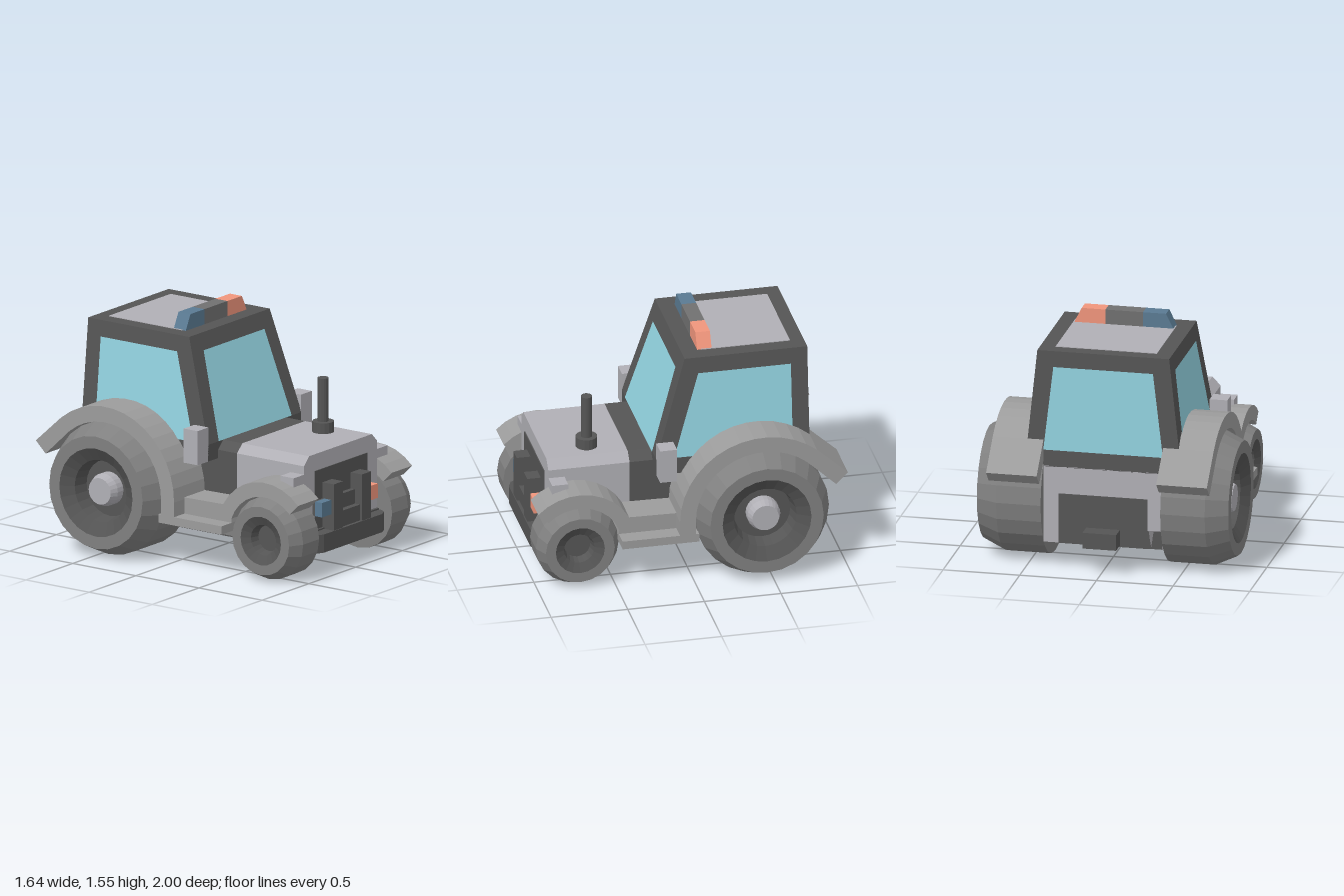
import * as THREE from 'three';

const mat = (color) => new THREE.MeshStandardMaterial({ color, flatShading: true, side: THREE.DoubleSide });

export function createModel() {
  const model = new THREE.Group();
  const paint = mat(0xb0afb5), dark = mat(0x555555), tyre = mat(0x808080), fender = mat(0x9c9c9c);
  const glass = mat(0x92d2df), blue = mat(0x5a7a92), orange = mat(0xf0957c), grey = mat(0x707070);

  const add = (name, geometry, material) => {
    const mesh = new THREE.Mesh(geometry, material);
    mesh.name = name;
    model.add(mesh);
    return mesh;
  };
  // box given by its limits on each axis
  const box = (name, x0, x1, y0, y1, z0, z1, material) => add(name,
    new THREE.BoxGeometry(Math.abs(x1 - x0), y1 - y0, z1 - z0)
      .translate((x0 + x1) / 2, (y0 + y1) / 2, (z0 + z1) / 2), material);
  const shapeOf = (pts) => new THREE.Shape(pts.map(([a, b]) => new THREE.Vector2(a, b)));
  const extrude = (pts, depth) => new THREE.ExtrudeGeometry(shapeOf(pts), { depth, bevelEnabled: false });
  // side profile of [z, y] points, extruded across x
  const extrudeX = (pts, x0, x1) => extrude(pts.map(([z, y]) => [-z, y]), x1 - x0)
    .rotateY(Math.PI / 2).translate(x0, 0, 0);
  // arc of [z, y] points; angle 0 points forward, 90 points up
  const arc = (cz, cy, r, a0, a1, n) => Array.from({ length: n + 1 }, (_, i) => {
    const a = THREE.MathUtils.degToRad(a0 + (a1 - a0) * i / n);
    return [cz + r * Math.cos(a), cy + r * Math.sin(a)];
  });
  // flat four-cornered pane
  const pane = (name, corners, material) => {
    const g = new THREE.BufferGeometry();
    g.setAttribute('position', new THREE.Float32BufferAttribute(corners.flat(), 3));
    g.setIndex([0, 1, 2, 0, 2, 3]);
    g.computeVertexNormals();
    return add(name, g, material);
  };

  // chassis and body core
  box('chassis', -0.385, 0.385, 0.17, 0.29, -0.8, 0.9, dark);
  box('bodyCore', -0.39, 0.39, 0.28, 0.7, -0.78, 0.3, dark);
  box('rearPanel', -0.39, 0.39, 0.17, 0.68, -0.8, -0.77, paint);
  box('rearInset', -0.29, 0.29, 0.17, 0.5, -0.806, -0.79, dark);
  box('hitch', -0.11, 0.11, 0.18, 0.285, -0.915, -0.8, dark);

  // bonnet with chamfered top edges, and the dark cowl behind it
  const hood = [[-0.39, 0.28], [0.39, 0.28], [0.39, 0.73], [0.335, 0.785], [-0.335, 0.785], [-0.39, 0.73]];
  add('bonnet', extrude(hood, 0.53).translate(0, 0, 0.35), paint);
  add('cowl', extrude(hood, 0.2).translate(0, 0, 0.15), dark);

  // front bumper with cut corners
  const bumper = [[-0.39, 0.85], [0.39, 0.85], [0.39, 0.91], [0.365, 0.955], [0.31, 0.98],
    [-0.31, 0.98], [-0.365, 0.955], [-0.39, 0.91]];
  add('bumper', extrude(bumper.map(([x, z]) => [x, -z]), 0.12).rotateX(-Math.PI / 2).translate(0, 0.16, 0), dark);

  // grille and its guard
  box('grille', -0.28, 0.28, 0.28, 0.675, 0.86, 0.886, dark);
  box('grilleStepLow', -0.1, 0.1, 0.28, 0.385, 0.88, 0.96, dark);
  box('grilleStepHigh', -0.1, 0.1, 0.385, 0.48, 0.88, 0.92, dark);
  for (const s of [-1, 1]) {
    box('grilleGuard', s * 0.1, s * 0.2, 0.28, 0.585, 0.88, 0.975, dark);
    box('frontLight', s * 0.2, s * 0.298, 0.385, 0.48, 0.9, 0.955, s > 0 ? orange : blue);
    box('frontLightHousing', s * 0.2, s * 0.298, 0.385, 0.48, 0.88, 0.9, dark);
  }

  // exhaust
  add('exhaustBase', new THREE.CylinderGeometry(0.07, 0.07, 0.07, 16).translate(0.205, 0.82, 0.59), dark);
  add('exhaustPipe', new THREE.CylinderGeometry(0.036, 0.036, 0.3, 16).translate(0.205, 0.99, 0.59), dark);

  // cab: straight skirt with a tapering upper part
  box('cabSkirt', -0.5, 0.5, 0.675, 0.785, -0.8, 0.2, dark);
  const cab = new THREE.BoxGeometry(1, 0.665, 1).translate(0, 1.1175, -0.3);
  const p = cab.attributes.position;
  for (let i = 0; i < p.count; i++) {
    if (p.getY(i) > 1) {
      p.setX(i, Math.sign(p.getX(i)) * 0.43);
      if (p.getZ(i) > 0) p.setZ(i, 0);
    }
  }
  add('cab', cab, dark);
  box('roofPanel', -0.33, 0.33, 1.44, 1.454, -0.71, -0.13, paint);

  // windows lie just proud of the cab walls
  const sideX = (y) => 0.504 - 0.105 * (y - 0.785);
  const frontZ = (y) => 0.205 - 0.301 * (y - 0.785);
  const lo = 0.787, hi = 1.345;
  pane('windscreen', [[-0.39, lo, frontZ(lo)], [0.39, lo, frontZ(lo)],
    [0.325, hi, frontZ(hi)], [-0.325, hi, frontZ(hi)]], glass);
  pane('rearWindow', [[0.39, lo, -0.804], [-0.39, lo, -0.804], [-0.325, hi, -0.804], [0.325, hi, -0.804]], glass);
  for (const s of [-1, 1]) {
    const c = [[lo, 0.085], [lo, -0.69], [hi, -0.69], [hi, -0.085]].map(([y, z]) => [s * sideX(y), y, z]);
    pane('sideWindow', s > 0 ? c : c.reverse(), glass);
  }

  // roof light bar in three colours with slanted ends
  const bar = (name, pts, material) => add(name, extrude(pts, 0.095).translate(0, 0, -0.2), material);
  bar('beaconRight', [[-0.325, 1.45], [-0.125, 1.45], [-0.125, 1.55], [-0.275, 1.55]], blue);
  bar('beaconMiddle', [[-0.125, 1.45], [0.12, 1.45], [0.12, 1.55], [-0.125, 1.55]], grey);
  bar('beaconLeft', [[0.12, 1.45], [0.325, 1.45], [0.275, 1.55], [0.12, 1.55]], orange);

  // wheel parts are [radius, x] profiles turned about the axle
  const wheel = (name, s, y, z, sides, parts) => {
    const group = new THREE.Group();
    group.name = name;
    for (const [part, pts, material] of parts) {
      const g = new THREE.LatheGeometry(pts.map(([r, x]) => new THREE.Vector2(r, x)), sides);
      const mesh = new THREE.Mesh(g.rotateZ(-s * Math.PI / 2), material);
      mesh.name = part;
      group.add(mesh);
    }
    group.position.set(0, y, z);
    model.add(group);
  };

  // fender profiles
  const rearFender = [[0.095, 0.34], ...arc(-0.45, 0.435, 0.545, 0, 130, 14), [-1, 0.67], [-0.923, 0.595],
    ...arc(-0.45, 0.435, 0.442, 130, 0, 14), [-0.008, 0.34]];
  const frontFender = [[0.09, 0.34], [0.47, 0.34], ...arc(0.73, 0.27, 0.28, 160, 45, 9),
    ...arc(0.73, 0.27, 0.375, 45, 151, 9), [0.09, 0.447]];

  for (const s of [-1, 1]) {
    const across = (pts, a, b) => extrudeX(pts, s > 0 ? a : -b, s > 0 ? b : -a);
    add('rearFender', across(rearFender, 0.39, 0.72), fender);
    add('frontFender', across(frontFender, 0.39, 0.61), fender);
    box('step', s * 0.39, s * 0.72, 0.285, 0.34, -0.03, 0.47, fender);
    box('sill', s * 0.38, s * 0.392, 0.18, 0.285, -0.3, 0.47, tyre);
    box('headlamp', s * 0.39, s * 0.5, 0.615, 0.675, 0.775, 0.88, paint);
    box('sideBox', s * 0.495, s * 0.61, 0.675, 0.9, 0.09, 0.2, paint);

    wheel('rearWheel', s, 0.435, -0.45, 24, [
      ['rearTyre', [[0, 0.39], [0.435, 0.39], [0.435, 0.68], [0.37, 0.82], [0.29, 0.82]], tyre],
      ['rearRim', [[0.29, 0.82], [0.205, 0.77], [0.185, 0.67], [0, 0.67]], dark],
      ['rearHub', [[0.107, 0.67], [0.107, 0.73], [0.087, 0.78], [0, 0.78]], paint],
    ]);
    wheel('frontWheel', s, 0.27, 0.73, 20, [
      ['frontTyre', [[0, 0.39], [0.27, 0.39], [0.27, 0.56], [0.225, 0.65], [0.16, 0.65]], tyre],
      ['frontRim', [[0.16, 0.65], [0.1, 0.62], [0.085, 0.56], [0, 0.56]], dark],
    ]);
  }
  return model;
}
